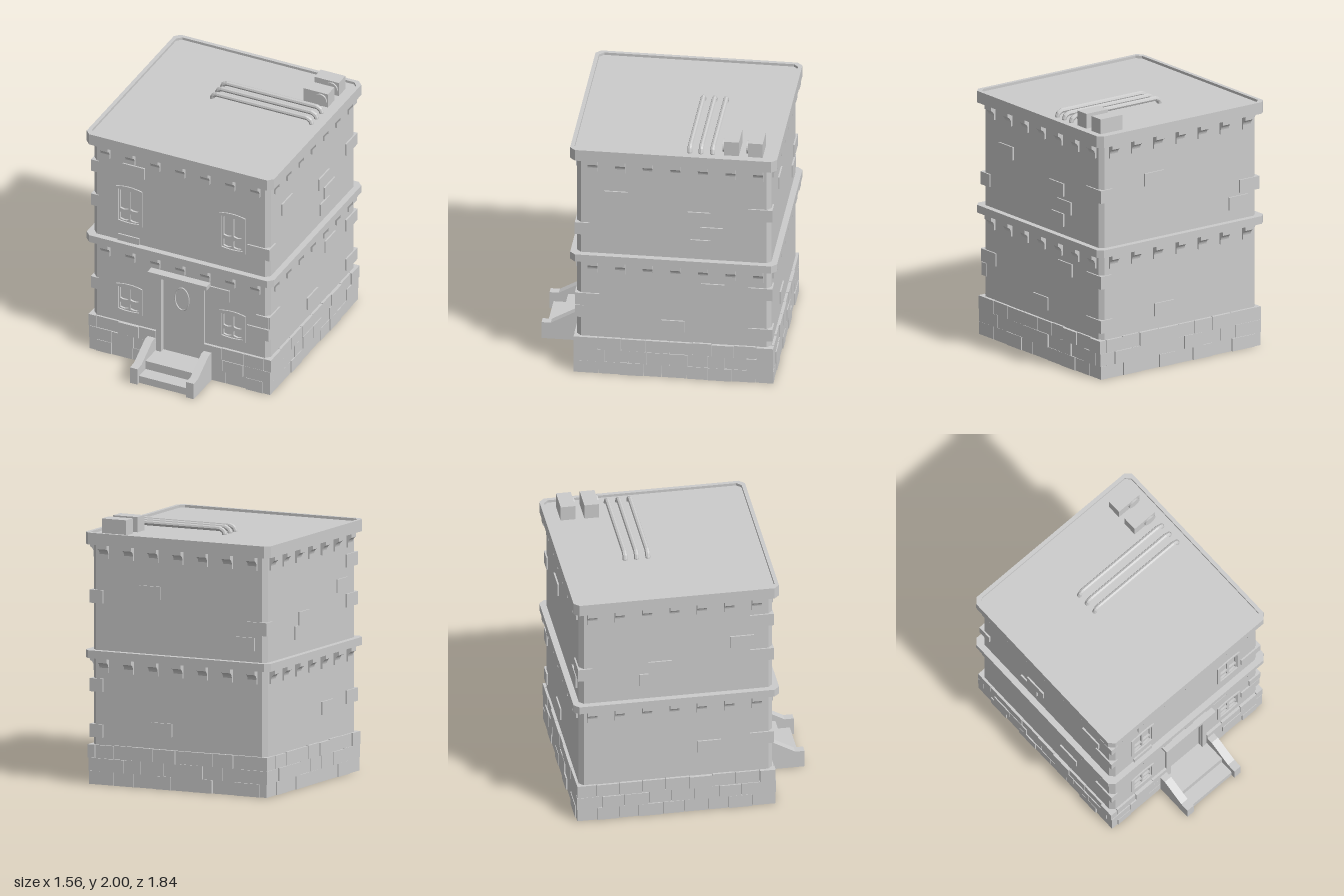
import * as THREE from 'three';

const C = -0.137;   // centre of the building in z
const H = 0.733;    // half width of the walls
const T = 0.03;     // wall thickness

export function createModel() {
  const model = new THREE.Group();
  model.name = 'townhouse';
  const mat = new THREE.MeshStandardMaterial({ color: 0xcccccc, flatShading: true });
  const smooth = new THREE.MeshStandardMaterial({ color: 0xcccccc });
  let seed = 7;
  const rnd = () => (seed = (seed * 16807) % 2147483647) / 2147483647;

  const add = (name, geo, parent = model, m = mat) => {
    const mesh = new THREE.Mesh(geo, m);
    mesh.name = name;
    parent.add(mesh);
    return mesh;
  };
  const box = (name, x0, x1, y0, y1, z0, z1, parent = model) =>
    add(name, new THREE.BoxGeometry(x1 - x0, y1 - y0, z1 - z0), parent)
      .position.set((x0 + x1) / 2, (y0 + y1) / 2, (z0 + z1) / 2);
  const poly = (pts) => new THREE.Shape(pts.map((p) => new THREE.Vector2(...p)));
  const extrude = (shape, depth) =>
    new THREE.ExtrudeGeometry(shape, { depth, bevelEnabled: false, curveSegments: 8 });
  // plan shape (x, -z) raised from y0 to y1 about the building centre
  const raise = (name, shape, y0, y1) =>
    add(name, extrude(shape, y1 - y0).rotateX(-Math.PI / 2).translate(0, y0, C));
  const octagon = (h, c) => [[-h + c, -h], [h - c, -h], [h, -h + c], [h, h - c],
    [h - c, h], [-h + c, h], [-h, h - c], [-h, -h + c]];

  // One group per side, with its wall facing local +z
  const sides = ['front', 'right', 'back', 'left'].map((n, i) => {
    const g = new THREE.Group();
    g.name = n + 'Side';
    g.position.z = C;
    g.rotation.y = [0, Math.PI / 2, Math.PI, -Math.PI / 2][i];
    model.add(g);
    return g;
  });
  const [front, right, back, left] = sides;

  // Side and back walls: U-shaped plan with chamfered corners
  const c = 0.033, a = H - c, hi = H - T;
  raise('walls', poly([[a, -H], [H, -a], [H, a], [a, H], [-a, H], [-H, a], [-H, -a], [-a, -H],
    [-a, -hi + 0.015], [-hi, -a + 0.03], [-hi, hi], [hi, hi], [hi, -a + 0.03], [a, -hi + 0.015]]), 0.02, 1.83);

  // Front wall with doorway and window openings
  const archOutline = (w, y0, y1, x = 0, Path = THREE.Shape) => {
    const p = new Path();
    p.moveTo(x - w, y0 + 0.008);
    p.quadraticCurveTo(x, y0 - 0.008, x + w, y0 + 0.008);
    p.lineTo(x + w, y1 - 0.015);
    p.quadraticCurveTo(x, y1 + 0.015, x - w, y1 - 0.015);
    p.closePath();
    return p;
  };
  const windows = [[0.385, 0.64, 0.485], [1.165, 1.5, 1.28]];
  const frontShape = poly([[-a, 0.02], [-0.155, 0.02], [-0.155, 0.795], [0.155, 0.795],
    [0.155, 0.02], [a, 0.02], [a, 1.83], [-a, 1.83]]);
  for (const x of [-0.43, 0.43])
    for (const [y0, y1] of windows)
      frontShape.holes.push(archOutline(0.1, y0 + 0.01, y1 - 0.01, x, THREE.Path));
  add('frontWall', extrude(frontShape, T).translate(0, 0, H - T), front);

  // Windows: outer frame, sash with four panes, glass
  for (const x of [-0.43, 0.43]) {
    for (const [y0, y1, mid] of windows) {
      const w = new THREE.Group();
      w.name = 'window';
      w.position.set(x, 0, H);
      front.add(w);
      const frame = archOutline(0.11, y0, y1);
      frame.holes.push(archOutline(0.087, y0 + 0.02, y1 - 0.02, 0, THREE.Path));
      add('windowFrame', extrude(frame, 0.04).translate(0, 0, -0.03), w);
      const sash = archOutline(0.088, y0 + 0.018, y1 - 0.018);
      for (const px of [-0.042, 0.042]) {
        sash.holes.push(archOutline(0.034, y0 + 0.03, mid - 0.008, px, THREE.Path));
        sash.holes.push(archOutline(0.034, mid + 0.008, y1 - 0.032, px, THREE.Path));
      }
      add('windowSash', extrude(sash, 0.025).translate(0, 0, -0.027), w);
      box('windowGlass', -0.088, 0.088, y0 + 0.02, y1 - 0.02, -0.03, -0.018, w);
    }
  }

  // Cornices, roof deck and rim
  raise('middleCornice', poly(octagon(0.78, 0.04)), 0.955, 1.015);
  raise('roofSlab', poly(octagon(0.78, 0.04)), 1.815, 1.885);
  const rim = poly(octagon(0.78, 0.04));
  rim.holes.push(new THREE.Path(octagon(0.75, 0.035).map((p) => new THREE.Vector2(...p))));
  raise('roofRim', rim, 1.885, 1.905);

  // Corbels under both cornices
  const profile = new THREE.Shape();
  profile.moveTo(0.71, 0);
  profile.lineTo(0.71, -0.105);
  profile.lineTo(0.747, -0.105);
  profile.lineTo(0.747, -0.07);
  profile.quadraticCurveTo(0.752, -0.04, 0.778, -0.03);
  profile.lineTo(0.778, 0);
  profile.closePath();
  const corbel = extrude(profile, 0.075).translate(0, 0, -0.0375).rotateY(-Math.PI / 2);
  sides.forEach((side, s) => {
    for (const top of [0.955, 1.815])
      for (let i = -3; i <= 3; i++)
        add('corbel', corbel, side).position.set(i * 0.208 + [0, 0.014, 0, -0.014][s], top, 0);
  });

  // Base courses of uneven bricks
  const course = (side, u0, u1, row) => {
    let u = u0;
    while (u < u1 - 0.01) {
      let next = u + 0.13 + rnd() * 0.06;
      if (u1 - next < 0.08) next = u1;
      const out = 0.748 + rnd() * 0.012;
      const depth = rnd() < 0.35 ? 0.12 : 0.06;
      box('baseBrick', u + 0.002, next - 0.002, row * 0.1, row * 0.1 + 0.098 + rnd() * 0.005,
        out - depth, out, side);
      u = next;
    }
  };
  sides.forEach((side, s) => {
    for (let row = 0; row < 3; row++) {
      const end = (row + s) % 2 ? 0.754 : 0.695;
      if (side === front) {
        course(side, -end, -0.2, row);
        course(side, 0.2, end, row);
      } else course(side, -end, end, row);
    }
  });

  // Raised bricks scattered over the walls: [centre along wall, bottom, width]
  const accents = [
    [front, [[-0.39, 1.6, 0.18], [-0.432, 0.97, 0.175], [0.645, 1.17, 0.18], [0.323, 0.715, 0.175],
      [0.685, 0.57, 0.105], [0.645, 0.46, 0.18]]],
    [right, [[-0.435, 1.45, 0.18], [0.19, 1.315, 0.175], [0.285, 1.19, 0.175], [0.203, 1.08, 0.15],
      [0.65, 1.37, 0.18], [0.295, 0.71, 0.175], [-0.007, 0.38, 0.18], [0.65, 0.7, 0.18],
      [0.65, 0.355, 0.18], [-0.69, 1.17, 0.11], [-0.65, 0.57, 0.18]]],
    [back, [[-0.24, 1.43, 0.18], [-0.145, 0.4, 0.18], [0.55, 1.1, 0.18], [0.65, 1.22, 0.18],
      [-0.69, 1.37, 0.11], [-0.69, 0.7, 0.11], [-0.69, 0.355, 0.11]]],
    [left, [[-0.12, 1.23, 0.18], [-0.19, 1.13, 0.18], [0.25, 0.5, 0.18], [0.5, 1.39, 0.18],
      [0.65, 1.56, 0.18], [0.65, 1.26, 0.18], [0.65, 0.53, 0.18], [-0.69, 1.22, 0.11]]],
  ];
  for (const [side, list] of accents)
    for (const [u, y, w] of list)
      box('wallBrick', u - w / 2, u + w / 2, y, y + 0.1, 0.68, 0.745, side);

  // Door with oval light, surround and canopy
  box('door', -0.155, 0.155, 0.12, 0.8, 0.55, 0.572);
  const oval = add('doorOval', new THREE.TorusGeometry(0.096, 0.007, 6, 32), model, smooth);
  oval.scale.set(0.6, 1, 1);
  oval.position.set(0, 0.615, 0.574);
  for (const s of [-1, 1])
    box('doorPilaster', s * 0.178 - 0.022, s * 0.178 + 0.022, 0, 0.795, 0.56, 0.613);
  box('doorHead', -0.2, 0.2, 0.785, 0.815, 0.56, 0.63);
  box('doorCanopy', -0.245, 0.245, 0.805, 0.84, 0.58, 0.663);

  // Front steps and sloping side walls
  box('lowerStep', -0.21, 0.21, 0, 0.06, 0.56, 0.89);
  box('upperStep', -0.21, 0.21, 0.05, 0.13, 0.55, 0.78);
  const cheek = extrude(poly([[0.59, 0], [0.92, 0], [0.92, 0.135], [0.85, 0.135],
    [0.665, 0.24], [0.59, 0.24]]), 0.063).rotateY(-Math.PI / 2);
  add('stairWall', cheek).position.x = -0.203;
  add('stairWall', cheek).position.x = 0.266;

  // Roof pipes with ends bent down
  for (const z of [-0.25, -0.335, -0.422]) {
    const path = new THREE.CurvePath();
    const pts = [[-0.152, 1.875], [-0.152, 1.905], [-0.12, 1.928], [0.64, 1.928], [0.672, 1.905], [0.672, 1.875]]
      .map(([x, y]) => new THREE.Vector3(x, y, z));
    for (let i = 0; i < 5; i++) path.add(new THREE.LineCurve3(pts[i], pts[i + 1]));
    add('roofPipe', new THREE.TubeGeometry(path, 48, 0.019, 8));
  }

  // Rooftop cooling units with round fans
  for (const [x, z] of [[0.583, -0.745], [0.58, -0.565]]) {
    box('coolingUnit', x - 0.102, x + 0.102, 1.88, 2, z - 0.056, z + 0.056);
    add('coolingFan', new THREE.CylinderGeometry(0.05, 0.05, 0.014, 20).rotateX(Math.PI / 2))
      .position.set(x + 0.045, 1.94, z + 0.062);
  }
  return model;
}
